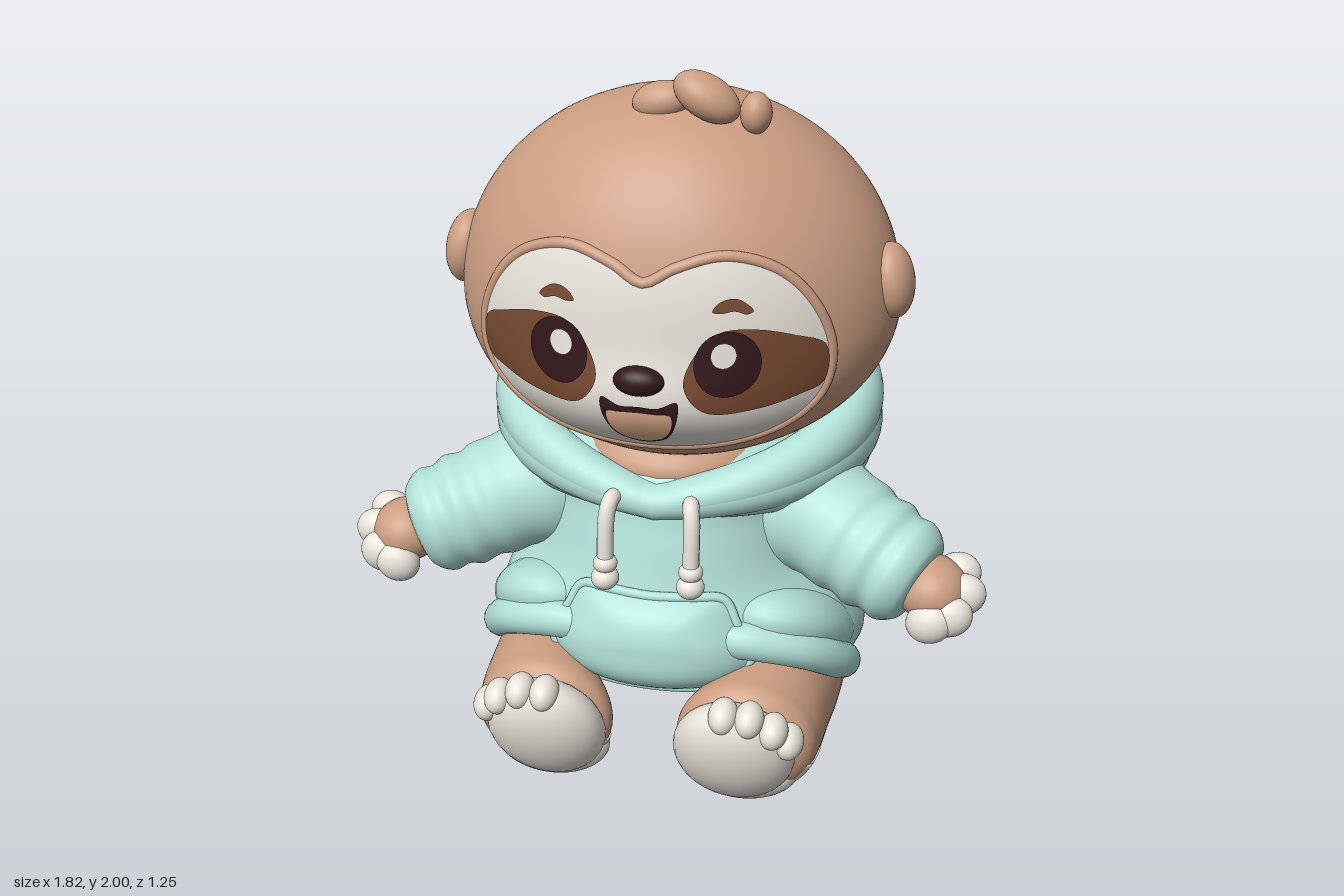
import * as THREE from 'three';
import { mergeVertices } from 'three/addons/utils/BufferGeometryUtils.js';

const material = (name, color) => Object.assign(new THREE.MeshStandardMaterial({ color }), { name });
const V = (x, y, z) => new THREE.Vector3(x, y, z);

// Smooth interpolation of rows [key, ...values]
function sample(rows, t) {
  let i = 0;
  while (i < rows.length - 2 && t > rows[i + 1][0]) i++;
  const a = rows[i], b = rows[i + 1], p = rows[i - 1] || a, n = rows[i + 2] || b;
  const h = b[0] - a[0], s = (t - a[0]) / h, s2 = s * s, s3 = s2 * s;
  return a.map((v, k) => {
    const m0 = (b[k] - p[k]) / (b[0] - p[0]) * h, m1 = (n[k] - v) / (n[0] - a[0]) * h;
    return (2 * s3 - 3 * s2 + 1) * v + (s3 - 2 * s2 + s) * m0 + (3 * s2 - 2 * s3) * b[k] + (s3 - s2) * m1;
  });
}

// Surface from fn(u, v), closed around v; winding is made to face outward
function grid(fn, nu, nv) {
  const pts = [], index = [];
  for (let i = 0; i <= nu; i++) for (let j = 0; j <= nv; j++) pts.push(fn(i / nu, (j % nv) / nv));
  const o = new THREE.Box3().setFromPoints(pts).getCenter(V(0, 0, 0));
  o.z -= 5;
  let volume = 0;
  for (let i = 0; i < nu; i++) for (let j = 0; j < nv; j++) {
    const a = i * (nv + 1) + j, b = a + nv + 1, c = b + 1, d = a + 1;
    for (const t of [[a, b, c], [a, c, d]]) {
      index.push(...t);
      const [p, q, r] = t.map(k => pts[k].clone().sub(o));
      volume += p.dot(q.cross(r));
    }
  }
  if (volume < 0) for (let k = 0; k < index.length; k += 3) [index[k], index[k + 1]] = [index[k + 1], index[k]];
  const open = new THREE.BufferGeometry().setFromPoints(pts);
  open.setIndex(index);
  const g = mergeVertices(open, 1e-5);
  g.computeVertexNormals();
  return g;
}

// Tapered tube along a curve, rows give [t, radius]
function sweep(points, rows, nu, nv = 32) {
  const curve = new THREE.CatmullRomCurve3(points);
  return grid((u, v) => {
    const c = curve.getPoint(u), t = curve.getTangent(u), r = Math.max(0, sample(rows, u)[1]);
    const n = V(0, 1, 0).cross(t).normalize(), b = t.clone().cross(n), a = v * Math.PI * 2;
    return c.addScaledVector(n, r * Math.cos(a)).addScaledVector(b, r * Math.sin(a));
  }, nu, nv);
}

const outline = pts => new THREE.CatmullRomCurve3(pts.map(([x, y]) => V(x, y, 0)), true);
const mirrored = half => [...half, ...half.slice(1, -1).reverse().map(([x, y]) => [-x, y])];

// Thin patch filling an outline, laid on the surface z(x, y, r)
function patch(pts, z, nu = 10, nv = 64) {
  const edge = outline(pts).getPoints(nv), c = V(0, 0, 0);
  pts.forEach(([x, y]) => c.add(V(x / pts.length, y / pts.length, 0)));
  return grid((u, v) => {
    const p = c.clone().lerp(edge[Math.round(v * nv)], u);
    return p.setZ(z(p.x, p.y, u));
  }, nu, nv);
}

const oval = (x, y, rx, ry) => Array.from({ length: 12 }, (_, i) =>
  [x + rx * Math.cos(i * Math.PI / 6), y + ry * Math.sin(i * Math.PI / 6)]);

// Head proportions at height y (fuller around the jaw) and its front surface
function headAt(y) {
  const q = (y - 1.35) / (y > 1.35 ? 0.56 : 0.45), s = Math.sqrt(Math.max(0, 1 - q * q));
  const jaw = 1 + 0.08 * Math.exp(-(((y - 1.13) / 0.14) ** 2));
  return { rx: 0.61 * s, f: 0.48 * s ** 0.82 * jaw, b: 0.507 * s };
}
function headZ(x, y) {
  const h = headAt(y);
  return -0.05 + h.f * Math.sqrt(Math.max(0, 1 - (x / h.rx) ** 2));
}
const faceZ = off => (x, y) =>
  headZ(x, y) + 0.008 + off + 0.025 * Math.exp(-((x / 0.22) ** 2) - ((y - 1.22) / 0.1) ** 2);

// Hoodie torso rows: y, half width, centre z, half depth
const torso = [[0.015, 0, -0.26, 0], [0.03, 0.25, -0.26, 0.13], [0.07, 0.4, -0.26, 0.21], [0.16, 0.5, -0.19, 0.32],
  [0.3, 0.55, -0.09, 0.45], [0.45, 0.51, -0.055, 0.45], [0.6, 0.42, -0.06, 0.41], [0.75, 0.38, -0.06, 0.37],
  [0.9, 0.37, -0.07, 0.33], [1, 0.2, -0.08, 0.18]];
function torsoZ(x, y) {
  const [, rx, cz, rz] = sample(torso, y);
  return cz + rz * Math.sqrt(Math.max(0, 1 - (x / rx) ** 2));
}

// Leg rows: z, centre x, centre y, half width, half height
const leg = [[-0.27, 0.36, 0.12, 0, 0], [-0.24, 0.36, 0.13, 0.08, 0.08], [-0.1, 0.37, 0.16, 0.13, 0.15],
  [0.1, 0.365, 0.19, 0.145, 0.18], [0.28, 0.335, 0.2, 0.165, 0.19], [0.4, 0.295, 0.2, 0.195, 0.187],
  [0.46, 0.285, 0.21, 0.18, 0.165], [0.5, 0.28, 0.22, 0.1, 0.1], [0.515, 0.28, 0.22, 0, 0]];

export function createModel() {
  const fur = material('fur', 0xcb9e82), cream = material('cream', 0xeee9e0), cloth = material('hoodieCloth', 0xb2e1d8);
  const mask = material('eyeMask', 0x764930), dark = material('darkFeatures', 0x32171b);
  const white = material('eyeHighlight', 0xf3f0ec), pink = material('tongue', 0xf0ba98);
  const model = new THREE.Group();
  model.name = 'plushInHoodie';
  const add = (name, geometry, mat) => {
    const m = new THREE.Mesh(geometry, mat);
    m.name = name;
    model.add(m);
    return m;
  };
  const ball = new THREE.SphereGeometry(1, 32, 22);
  const blob = (name, mat, p, s, r = [0, 0, 0]) => {
    const m = add(name, ball, mat);
    m.position.set(...p);
    m.scale.set(...s);
    m.rotation.set(...r);
  };
  const rim = (name, pts, z, radius, mat) => add(name, new THREE.TubeGeometry(new THREE.CatmullRomCurve3(
    outline(pts).getPoints(60).slice(0, 60).map(p => p.setZ(z(p.x, p.y))), true), 120, radius, 10, true), mat);

  // Head with soft fur grooves at the back
  add('head', grid((u, v) => {
    const c = Math.cos(Math.PI * u), y = 1.35 + (c > 0 ? 0.56 : 0.45) * c, h = headAt(y), a = v * Math.PI * 2;
    const s = Math.sin(a), k = 1 + 0.012 * Math.max(0, -s) * Math.sin(13 * a + 4 * y);
    return V(h.rx * Math.cos(a) * k, y, -0.05 + (s > 0 ? h.f : h.b) * s * k);
  }, 56, 80), fur);
  blob('neck', fur, [0, 0.9, -0.02], [0.28, 0.12, 0.28]);
  blob('hairTuft', fur, [-0.025, 1.91, 0.07], [0.08, 0.05, 0.055], [0, 0, 0.2]);
  blob('hairTuft', fur, [0.1, 1.935, 0.1], [0.095, 0.056, 0.065], [0, 0, -0.5]);
  blob('hairTuft', fur, [0.225, 1.895, 0.08], [0.042, 0.055, 0.048]);

  // Face
  const faceEdge = mirrored([[0, 1.535], [0.08, 1.575], [0.2, 1.605], [0.33, 1.565], [0.42, 1.47], [0.465, 1.34],
    [0.445, 1.22], [0.36, 1.135], [0.22, 1.08], [0, 1.06]]);
  add('face', patch(faceEdge, faceZ(0), 20, 112), cream);
  rim('faceFurRim', faceEdge, (x, y) => headZ(x, y) - 0.003, 0.016, fur);
  add('mouth', patch(mirrored([[0, 1.222], [0.05, 1.22], [0.1, 1.237], [0.095, 1.17], [0.06, 1.105], [0, 1.085]]),
    faceZ(0.004)), dark);
  add('tongue', patch(mirrored([[0, 1.207], [0.05, 1.204], [0.084, 1.2], [0.083, 1.155], [0.054, 1.109], [0, 1.092]]),
    faceZ(0.008)), pink);
  blob('nose', dark, [0, 1.288, 0.458], [0.067, 0.04, 0.04]);

  // Hood: three stacked rolls, tall at the back and meeting in a V at the front
  [1, 1, 0.95].forEach((k, i) => add('hoodRoll', grid((u, v) => {
    const p = (u * 2 - 1) * Math.PI, f = Math.abs(p) / Math.PI, a = v * Math.PI * 2;
    const top = 0.885 + 0.47 * f - 0.135 * f * f, bottom = 0.79 - 0.17 * f * f;
    const hh = 0.03 + 0.21 * (top - bottom), y = THREE.MathUtils.lerp(top - hh, bottom + hh, i / 2);
    const out = (0.06 + 0.03 * f) * Math.cos(a), c = Math.cos(p);
    return V(Math.sin(p) * (0.49 * k + out), y + hh * Math.sin(a), -0.15 + c * ((c > 0 ? 0.42 : 0.39) * k + out));
  }, 96, 28), cloth));

  // Torso and front pocket
  add('hoodieBody', grid((u, v) => {
    const y = 0.015 + 0.985 * u, [, rx, cz, rz] = sample(torso, y), a = v * Math.PI * 2;
    return V(rx * Math.cos(a), y, cz + rz * Math.sin(a));
  }, 60, 64), cloth);
  const pocketEdge = mirrored([[0, 0.585], [0.12, 0.585], [0.2, 0.575], [0.24, 0.51], [0.285, 0.41], [0.22, 0.32], [0, 0.28]]);
  add('pocket', patch(pocketEdge, (x, y, r) => torsoZ(x, y) + 0.01 + 0.045 * (1 - r ** 4), 16, 80), cloth);
  rim('pocketSeam', pocketEdge, (x, y) => torsoZ(x, y) + 0.006, 0.014, cloth);
  blob('tail', fur, [0, 0.19, -0.52], [0.065, 0.09, 0.065], [0.3, 0, 0]);

  // Painted features beside the nose: name, outline, lift, material
  const eyeParts = [['eyeMask', [[0.115, 1.28], [0.14, 1.36], [0.2, 1.42], [0.29, 1.425], [0.38, 1.4], [0.454, 1.36],
    [0.45, 1.25], [0.4, 1.23], [0.3, 1.205], [0.17, 1.205]], 0.004, mask],
  ['eye', oval(0.222, 1.337, 0.083, 0.088), 0.008, dark],
  ['eyeHighlight', oval(0.213, 1.362, 0.032, 0.034), 0.012, white],
  ['eyebrow', [[0.18, 1.475], [0.2, 1.5], [0.24, 1.506], [0.28, 1.474], [0.265, 1.466], [0.235, 1.475], [0.2, 1.47]],
    0.004, mask]];

  for (const s of [1, -1]) {
    const P = (x, y, z) => V(s * x, y, z);
    for (const [name, pts, off, mat] of eyeParts) add(name, patch(pts.map(([x, y]) => [s * x, y]), faceZ(off)), mat);
    blob('ear', fur, [s * 0.59, 1.44, 0.015], [0.06, 0.105, 0.085], [0, 0, s * 0.15]);

    // Sleeve with gathered folds and cuff
    add('sleeve', sweep([P(0.26, 0.76, -0.04), P(0.42, 0.725, 0.04), P(0.58, 0.67, 0.12), P(0.74, 0.61, 0.185)],
      [[0, 0], [0.05, 0.16], [0.25, 0.19], [0.45, 0.172], [0.56, 0.172], [0.63, 0.161], [0.72, 0.168], [0.79, 0.153],
        [0.87, 0.157], [0.95, 0.13], [0.98, 0.095], [1, 0]], 90), cloth);
    blob('hand', fur, [s * 0.76, 0.61, 0.19], [0.1, 0.09, 0.105]);
    for (const [x, y, z] of [[0.825, 0.63, 0.13], [0.845, 0.605, 0.2], [0.815, 0.565, 0.255], [0.765, 0.55, 0.275]])
      blob('handClaw', cream, [s * x, y, z], [0.066, 0.06, 0.05], [0, 0, s * 0.4]);

    // Drawstring
    add('drawstring', new THREE.TubeGeometry(new THREE.CatmullRomCurve3(
      [P(0.1, 0.83, 0.25), P(0.11, 0.865, 0.33), P(0.118, 0.83, 0.355), P(0.12, 0.66, 0.38)]), 24, 0.023, 12), cream);
    blob('stringBead', cream, [s * 0.12, 0.685, 0.375], [0.034, 0.028, 0.034]);
    blob('stringEnd', cream, [s * 0.12, 0.642, 0.38], [0.039, 0.034, 0.039]);

    // Cloth over the thigh and the rolled hem below it
    blob('thighCloth', cloth, [s * 0.32, 0.345, 0.04], [0.215, 0.13, 0.34], [-0.6, 0, 0]);
    add('hem', new THREE.TubeGeometry(new THREE.CatmullRomCurve3([P(0.08, 0.45, 0.28), P(0.2, 0.455, 0.325),
      P(0.3, 0.45, 0.32), P(0.42, 0.41, 0.27), P(0.495, 0.32, 0.16), P(0.495, 0.2, -0.02), P(0.42, 0.11, -0.17),
      P(0.2, 0.07, -0.27), P(-0.05, 0.065, -0.29)]), 70, 0.055, 16), cloth);

    // Leg with a pale underside
    add('leg', grid((u, v) => {
      const z = -0.27 + 0.785 * u, [, cx, cy, rx, ry] = sample(leg, z), a = v * Math.PI * 2;
      return P(cx + Math.max(0, rx) * Math.cos(a), cy + Math.max(0, ry) * Math.sin(a), z);
    }, 64, 48), fur);
    add('legUnderside', grid((u, v) => {
      const z = -0.14 + 0.61 * u, [, cx, cy, rx, ry] = sample(leg, z), taper = Math.min(1, 15 * u * (1 - u));
      const edge = Math.asin(THREE.MathUtils.clamp((0.03 + 0.2 * (z + 0.15) - cy) / ry, -1, 1));
      const a = Math.PI - edge + (Math.PI + 2 * edge) * (1 - Math.abs(1 - 2 * v));
      const k = v <= 0.5 ? 0.96 + 0.065 * taper : 0.96;
      return P(cx + k * rx * Math.cos(a), cy + k * ry * Math.sin(a), z);
    }, 40, 48), cream);

    // Foot, heel and toes
    blob('foot', cream, [s * 0.268, 0.205, 0.495], [0.17, 0.19, 0.1], [0.4, 0, 0]);
    blob('heel', cream, [s * 0.275, 0.1, 0.41], [0.167, 0.097, 0.1]);
    for (const [x, y, z] of [[0.25, 0.362, 0.562], [0.32, 0.358, 0.558], [0.385, 0.325, 0.55], [0.425, 0.28, 0.525]])
      blob('toe', cream, [s * x, y, z], [0.041, 0.046, 0.055], [0.3, 0, 0]);
  }
  return model;
}
